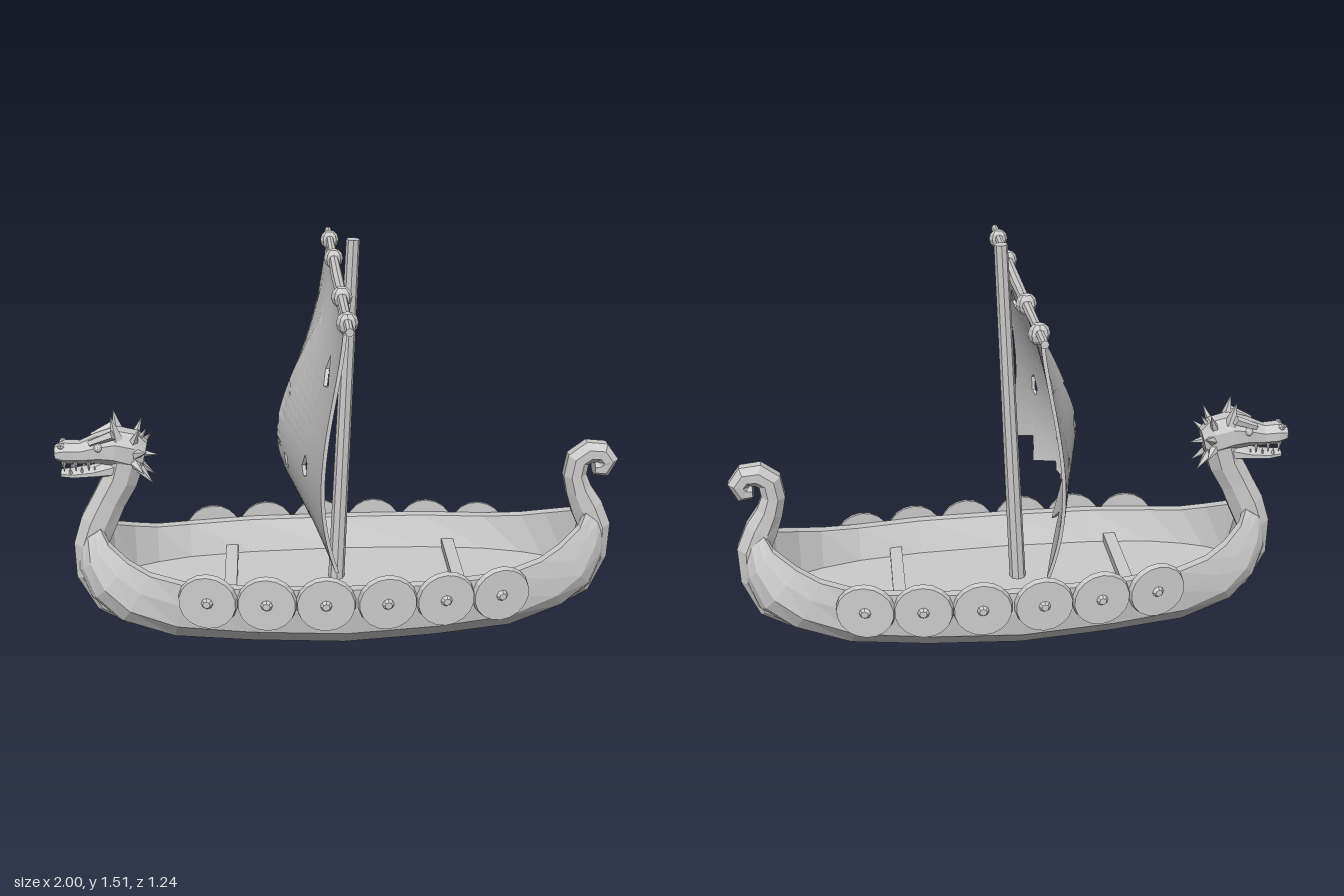
import * as THREE from 'three';

const mat = new THREE.MeshStandardMaterial({ color: 0xcccccc, flatShading: true, side: THREE.DoubleSide });
const V = (x, y, z) => new THREE.Vector3(x, y, z);

function mesh(name, geometry, parent) {
  const m = new THREE.Mesh(geometry, mat);
  m.name = name;
  parent.add(m);
  return m;
}

function fromTriangles(points) {
  const g = new THREE.BufferGeometry().setFromPoints(points);
  g.computeVertexNormals();
  return g;
}

// Skin a list of equal-length rings and close both ends
function loft(rings) {
  const pts = [], n = rings[0].length;
  for (let i = 0; i < rings.length - 1; i++) {
    for (let j = 0; j < n; j++) {
      const k = (j + 1) % n, A = rings[i], B = rings[i + 1];
      pts.push(A[j], A[k], B[k], A[j], B[k], B[j]);
    }
  }
  const cap = (ring, flip) => {
    const c = ring.reduce((s, p) => s.add(p), V(0, 0, 0)).divideScalar(n);
    ring.forEach((p, j) => {
      const q = ring[(j + 1) % n];
      pts.push(c, flip ? q : p, flip ? p : q);
    });
  };
  cap(rings[0], true);
  cap(rings[rings.length - 1], false);
  return fromTriangles(pts);
}

// Sweep an ellipse along stations [x, y, in-plane radius, z radius]
function sweep(stations, sides = 8) {
  return loft(stations.map(([x, y, r, rz], i) => {
    const a = stations[Math.max(i - 1, 0)], b = stations[Math.min(i + 1, stations.length - 1)];
    const t = V(b[0] - a[0], b[1] - a[1], 0).normalize();
    return Array.from({ length: sides }, (_, j) => {
      const th = ((j + 0.5) / sides) * Math.PI * 2, c = Math.cos(th) * r * 1.06;
      return V(x - t.y * c, y + t.x * c, Math.sin(th) * rz * 1.06);
    });
  }));
}

// Tapered rod between two points
function rod(name, from, to, r0, r1, sides, parent) {
  const d = to.clone().sub(from);
  const m = mesh(name, new THREE.CylinderGeometry(r1, r0, d.length(), sides), parent);
  m.position.copy(from).add(to).multiplyScalar(0.5);
  m.quaternion.setFromUnitVectors(V(0, 1, 0), d.normalize());
  return m;
}

// Hull stations: keel x, y, then gunwale x, y, half width
const STATIONS = [
  [-0.95, 0.42, -0.86, 0.48, 0.05], [-0.96, 0.3, -0.83, 0.44, 0.1], [-0.925, 0.19, -0.76, 0.4, 0.16],
  [-0.83, 0.095, -0.68, 0.37, 0.205], [-0.62, 0.03, -0.56, 0.355, 0.25], [-0.33, 0.015, -0.33, 0.35, 0.285],
  [0, 0, 0, 0.345, 0.3], [0.33, 0.015, 0.33, 0.35, 0.285], [0.62, 0.035, 0.56, 0.355, 0.25],
  [0.83, 0.1, 0.7, 0.38, 0.2], [0.94, 0.18, 0.78, 0.41, 0.155], [0.98, 0.3, 0.86, 0.45, 0.09],
  [0.98, 0.42, 0.89, 0.49, 0.045],
];

function hullGeometry() {
  return loft(STATIONS.map(([kx, ky, sx, sy, w], i) => {
    const end = i === 0 || i === STATIONS.length - 1;
    const deckY = end ? sy - 0.02 : 0.235;
    // outer side from keel to gunwale, then the inner wall down to the deck
    const half = [[0.36, 0.1], [0.68, 0.23], [0.95, 0.47], [1, 0.75], [1, 1]].map(
      ([f, g]) => [kx + (sx - kx) * g, ky + (sy - ky) * g, w * f]);
    half.push([sx, sy, Math.max(w - 0.032, 0.02)], [sx, deckY, w * 0.73]);
    return [V(kx, ky, 0), ...half.map(([x, y, z]) => V(x, y, -z)), V(sx, deckY, 0),
      ...half.reverse().map(([x, y, z]) => V(x, y, z))];
  }));
}

// Torn sail: outline with holes, split finely, then bellied forward
function sailGeometry() {
  const edge = [[0.04, 0.645], [0.07, 0.665], [0.225, 0.595], [0.305, 0.662], [0.545, 0.555],
    [0.552, 0.95], [0.545, 1.2], [0.53, 1.35]];
  const flip = (a) => a.map(([z, y]) => [-z, y]).reverse();
  const toPts = (a) => a.map(([z, y]) => new THREE.Vector2(z, y));
  const shape = new THREE.Shape(toPts([...edge, [0, 1.355], ...flip(edge)]));
  const holes = [
    [[0.45, 1.155], [0.365, 1.23], [0.35, 1.18], [0.39, 1.137]],
    [[0.385, 0.87], [0.36, 0.89], [0.33, 0.84], [0.345, 0.81], [0.38, 0.82]],
    [[0.127, 0.78], [0.09, 0.785], [0.09, 0.735], [0.118, 0.73]],
  ];
  for (const h of holes) shape.holes.push(new THREE.Path(toPts(h)), new THREE.Path(toPts(flip(h))));

  const flat = new THREE.ExtrudeGeometry(shape, { depth: 0.012, bevelEnabled: false });
  const p = (flat.index ? flat.toNonIndexed() : flat).attributes.position;
  let tri = Array.from({ length: p.count }, (_, i) => new THREE.Vector3().fromBufferAttribute(p, i));
  const mid = (a, b) => a.clone().lerp(b, 0.5);
  for (let pass = 0; pass < 3; pass++) {
    const next = [];
    for (let i = 0; i < tri.length; i += 3) {
      const [a, b, c] = tri.slice(i, i + 3), ab = mid(a, b), bc = mid(b, c), ca = mid(c, a);
      next.push(a, ab, ca, ab, b, bc, ca, bc, c, ab, bc, ca);
    }
    tri = next;
  }
  return fromTriangles(tri.map((q) => {
    const u = Math.max(0, (1.355 - q.y) / 0.8);
    const belly = 0.09 + 0.13 * (1 - Math.abs(q.x) / 0.55);
    const x = -0.02 + 0.03 * u - belly * Math.sin(0.5 * Math.PI * Math.pow(u / 0.69, 1.25));
    return V(x - 0.006 + q.z, q.y, -q.x);
  }));
}

function addHead(parent) {
  const head = new THREE.Group();
  head.name = 'dragonHead';
  parent.add(head);
  mesh('skull', sweep([[-0.69, 0.75, 0.045, 0.035], [-0.73, 0.76, 0.075, 0.052], [-0.79, 0.78, 0.07, 0.06],
    [-0.85, 0.775, 0.052, 0.052], [-0.91, 0.762, 0.04, 0.04], [-0.965, 0.765, 0.04, 0.043],
    [-1, 0.762, 0.025, 0.03]]), head);
  mesh('lowerJaw', sweep([[-0.79, 0.705, 0.035, 0.045], [-0.87, 0.69, 0.018, 0.04],
    [-0.94, 0.684, 0.014, 0.037], [-0.985, 0.684, 0.012, 0.025]]), head);
  for (const s of [-1, 1]) {
    const eye = mesh('eye', new THREE.IcosahedronGeometry(0.016, 1), head);
    eye.position.set(-0.845, 0.795, s * 0.045);
    rod('brow', V(-0.875, 0.808, s * 0.035), V(-0.79, 0.845, s * 0.052), 0.012, 0.018, 5, head);
    const nostril = mesh('nostril', new THREE.IcosahedronGeometry(0.014, 0), head);
    nostril.position.set(-0.975, 0.795, s * 0.022);
    for (const x of [-0.97, -0.93, -0.885]) {
      rod('upperTooth', V(x, 0.738, s * 0.028), V(x, 0.702, s * 0.028), 0.009, 0.001, 4, head);
      rod('lowerTooth', V(x + 0.02, 0.688, s * 0.026), V(x + 0.02, 0.716, s * 0.026), 0.008, 0.001, 4, head);
    }
    // horns and the ruff of spikes
    rod('horn', V(-0.78, 0.82, s * 0.03), V(-0.795, 0.905, s * 0.036), 0.024, 0.001, 5, head);
    for (const [x, y, z] of [[-0.7, 0.865, 0.055], [-0.675, 0.79, 0.085], [-0.69, 0.71, 0.085], [-0.665, 0.655, 0.04]])
      rod('spike', V(-0.75, 0.745, 0).lerp(V(x, y, s * z), 0.35), V(x, y, s * z), 0.022, 0.001, 5, head);
  }
  for (const [x, y] of [[-0.68, 0.845], [-0.645, 0.745]])
    rod('spike', V(-0.74, 0.76, 0), V(x, y, 0), 0.026, 0.001, 5, head);
}

export function createModel() {
  const ship = new THREE.Group();
  ship.name = 'longship';

  mesh('hull', hullGeometry(), ship);
  mesh('sternPost', sweep([[0.8, 0.1, 0.025, 0.02], [0.9, 0.175, 0.04, 0.03], [0.945, 0.3, 0.045, 0.038],
    [0.935, 0.42, 0.058, 0.045], [0.9, 0.5, 0.058, 0.045], [0.865, 0.57, 0.047, 0.042],
    [0.847, 0.63, 0.042, 0.04], [0.855, 0.69, 0.043, 0.04], [0.893, 0.718, 0.043, 0.04],
    [0.938, 0.715, 0.04, 0.04], [0.96, 0.685, 0.04, 0.04], [0.945, 0.655, 0.04, 0.036],
    [0.915, 0.655, 0.025, 0.034]]), ship);
  mesh('bowPost', sweep([[-0.78, 0.085, 0.025, 0.02], [-0.87, 0.155, 0.035, 0.03], [-0.92, 0.28, 0.045, 0.038],
    [-0.905, 0.4, 0.06, 0.045], [-0.87, 0.49, 0.065, 0.046], [-0.825, 0.58, 0.06, 0.045],
    [-0.78, 0.66, 0.062, 0.048], [-0.755, 0.74, 0.065, 0.05]]), ship);
  addHead(ship);

  // Cross beams on the deck
  for (const x of [-0.405, 0.425])
    mesh('crossBeam', new THREE.BoxGeometry(0.045, 0.035, 0.42), ship).position.set(x, 0.25, 0);

  // Shields along both sides, turned to follow the hull
  for (const side of [-1, 1]) {
    [-0.48, -0.275, -0.07, 0.145, 0.35, 0.55].forEach((x, i) => {
      const shield = new THREE.Group();
      shield.name = 'shield';
      shield.position.set(x, 0.302 - i * 0.002, side * (0.311 - 0.155 * x * x));
      shield.rotation.y = Math.atan2(0.31 * x, side);
      mesh('shieldBoard', new THREE.CylinderGeometry(0.1, 0.105, 0.02, 18), shield).rotation.x = Math.PI / 2;
      const boss = mesh('shieldBoss', new THREE.CylinderGeometry(0.013, 0.022, 0.012, 8), shield);
      boss.rotation.x = Math.PI / 2;
      boss.position.z = 0.015;
      ship.add(shield);
    });
  }

  // Mast, yard with lashings, and sail
  rod('mast', V(-0.018, 0.22, 0), V(0.04, 1.505, 0), 0.03, 0.023, 8, ship);
  for (const s of [-1, 1]) {
    rod('yard', V(-0.012, 1.372, 0), V(-0.012, 1.386, s * 0.62), 0.02, 0.013, 8, ship);
    for (const z of [0.235, 0.505]) {
      const lash = mesh('lashing', new THREE.SphereGeometry(0.036, 8, 6), ship);
      lash.position.set(-0.012, 1.378, s * z);
      lash.scale.set(0.95, 1, 0.78);
    }
  }
  mesh('sail', sailGeometry(), ship);
  return ship;
}
